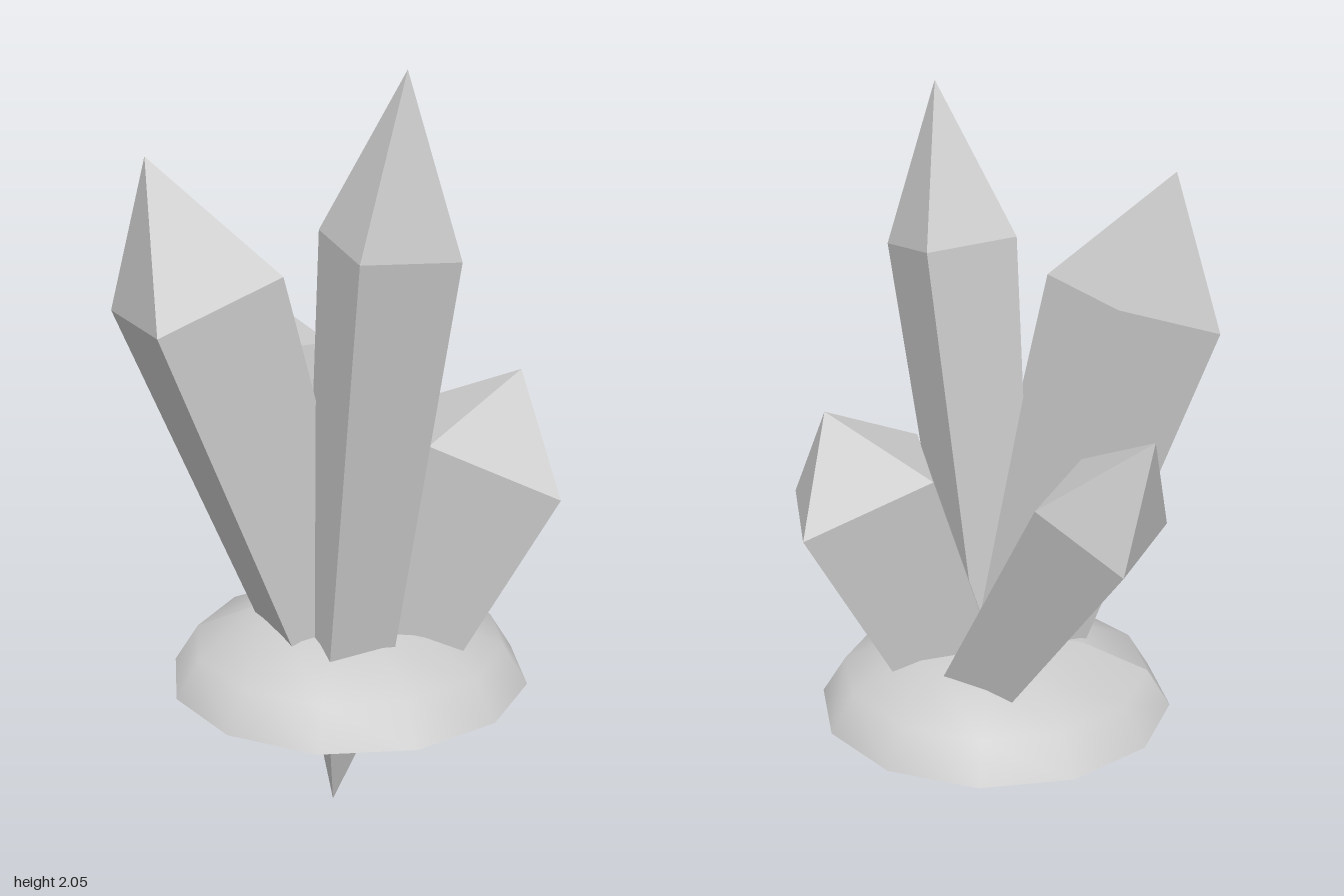
import * as THREE from 'three';

const vec = (a) => new THREE.Vector3(...a);

// Four-sided crystal: a sharp tip, a wide shoulder ring, a narrower foot ring and a buried point.
// u and v run from the shoulder centre to two neighbouring shoulder corners.
function crystalGeometry(tipAt, centreAt, uAt, vAt) {
  const tip = vec(tipAt), centre = vec(centreAt), u = vec(uAt), v = vec(vAt);
  const point = centre.clone().addScaledVector(tip.clone().sub(centre), -1 / 0.268);
  const footCentre = point.clone().lerp(centre, 0.245);
  const ring = (c, s) => [[u, s], [v, s], [u, -s], [v, -s]].map(([d, k]) => c.clone().addScaledVector(d, k));
  const shoulder = ring(centre, 1), foot = ring(footCentre, 0.65);

  const corners = [];
  for (let i = 0; i < 4; i++) {
    const j = (i + 1) % 4;
    corners.push(tip, shoulder[j], shoulder[i]);
    corners.push(foot[i], shoulder[i], shoulder[j], foot[i], shoulder[j], foot[j]);
    corners.push(point, foot[i], foot[j]);
  }
  const geometry = new THREE.BufferGeometry().setFromPoints(corners);
  geometry.computeVertexNormals();
  return geometry;
}

export function createModel() {
  const model = new THREE.Group();
  model.name = 'crystalCluster';
  const smooth = new THREE.MeshStandardMaterial({ color: 0xcccccc });
  const faceted = new THREE.MeshStandardMaterial({ color: 0xcccccc, flatShading: true });

  const add = (name, geometry, material, parent = model) => {
    const mesh = new THREE.Mesh(geometry, material);
    mesh.name = name;
    parent.add(mesh);
    return mesh;
  };

  // Low dome with a flat underside
  const base = new THREE.Group();
  base.name = 'base';
  base.position.set(0.01, 0.285, 0.042);
  model.add(base);
  const dome = new THREE.SphereGeometry(0.502, 12, 3, 0, Math.PI * 2, 0, Math.PI / 2);
  dome.scale(1, 0.43, 1);
  dome.computeVertexNormals();
  add('dome', dome, smooth, base);
  add('underside', new THREE.CircleGeometry(0.502, 12).rotateX(Math.PI / 2), faceted, base);

  // Crystals: tip, shoulder centre, two half diagonals
  const crystals = {
    tallCrystal: [[0.2, 2, 0.34], [0.155, 1.567, 0.305], [0.185, -0.025, 0.045], [-0.045, -0.01, 0.185]],
    frontRightCrystal: [[-0.46, 1.77, 0.303], [-0.353, 1.412, 0.25], [0.24, 0.065, 0.05], [-0.035, -0.055, 0.25]],
    leftCrystal: [[0.465, 1.172, -0.03], [0.373, 0.948, -0.006], [0.217, -0.08, 0.15], [-0.125, 0.075, 0.222]],
    backRightCrystal: [[-0.425, 1.29, -0.505], [-0.298, 1.045, -0.395], [0.163, 0.05, -0.095], [0.06, 0.095, 0.155]],
  };
  for (const [name, data] of Object.entries(crystals)) add(name, crystalGeometry(...data), faceted);

  return model;
}
